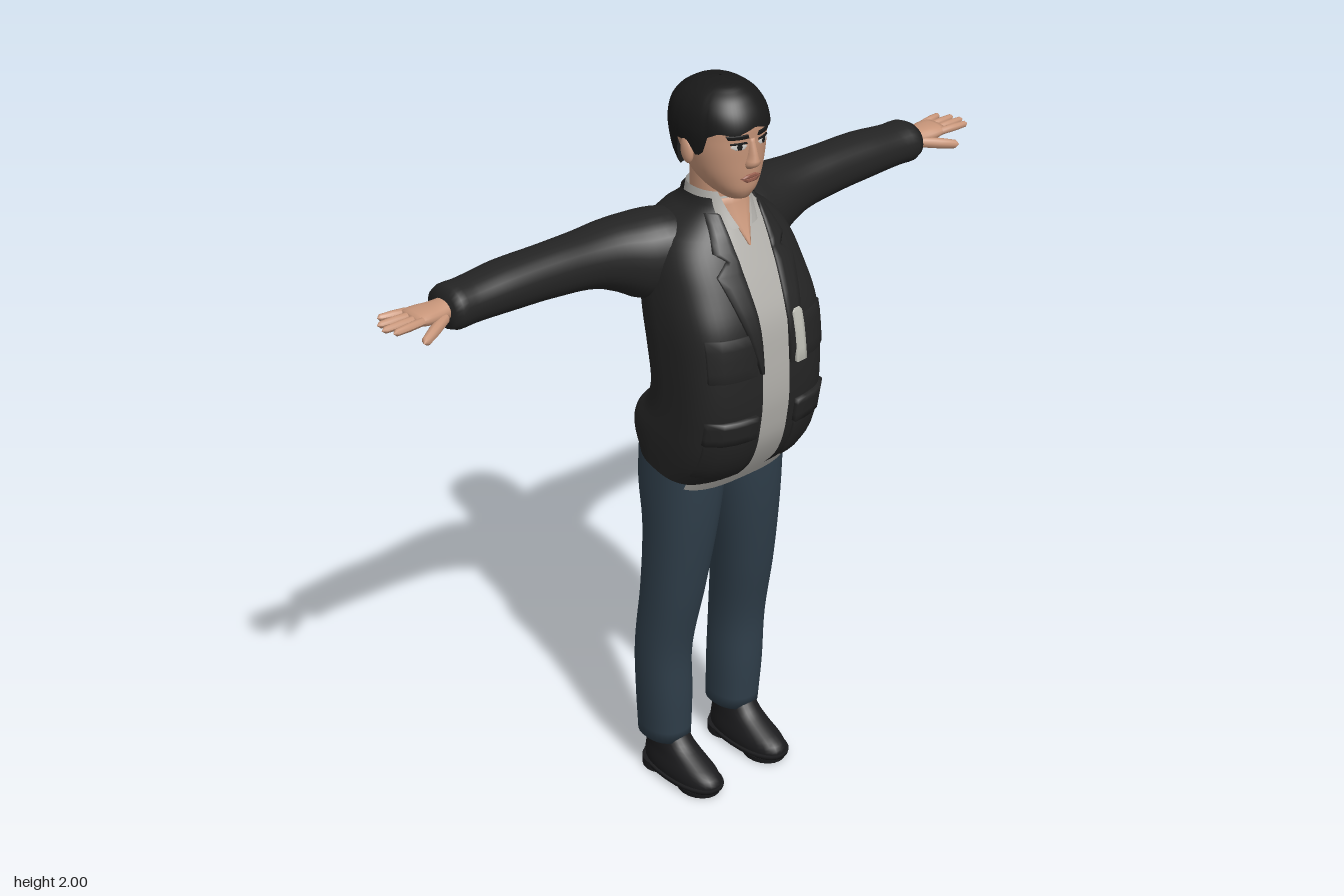
import * as THREE from 'three';
import { mergeVertices } from 'three/addons/utils/BufferGeometryUtils.js';

const mat = (name, color, side = THREE.FrontSide) =>
  Object.assign(new THREE.MeshStandardMaterial({ color, side }), { name });

// Profile rows: [y, centreX, halfWidth, frontZ, backZ, frontSquareness]
function profile(rows, warp = (y) => y) {
  const f = new THREE.CubicInterpolant(rows.map((r) => r[0]), rows.flatMap((r) => r.slice(1)), 5);
  return { get: (y) => Array.from(f.evaluate(y)), warp, y0: rows[0][0], y1: rows[rows.length - 1][0] };
}

// Point on a profile's surface at angle a (0 = front, + towards +x)
function at(P, a, y) {
  const [cx, rx, zf, zb, n] = P.get(y);
  const cz = (zf + zb) / 2, s = Math.sin(a), c = Math.cos(a), e = 2 / (c > 0 ? n : 2.3);
  const x = cx + rx * Math.sign(s) * Math.abs(s) ** e;
  const z = cz + ((zf - zb) / 2) * Math.sign(c) * Math.abs(c) ** e;
  return [x, P.warp(y, z), z];
}

// Regular grid of points into a smooth geometry
function grid(rows) {
  const w = rows[0].length, index = [];
  for (let i = 0; i < rows.length - 1; i++)
    for (let j = 0; j < w - 1; j++) {
      const a = i * w + j;
      index.push(a, a + 1, a + w + 1, a, a + w + 1, a + w);
    }
  let g = new THREE.BufferGeometry();
  g.setAttribute('position', new THREE.Float32BufferAttribute(rows.flat(2), 3));
  g.setIndex(index);
  g = mergeVertices(g, 1e-5);
  g.computeVertexNormals();
  return g;
}

// Skin over a profile, optionally partial in angle or with a shaped lower edge
function loft(P, { segs = 32, rows = 20, cap = true, ang = (u) => (u * 2 - 1) * Math.PI, low = () => P.y0 } = {}) {
  const out = [];
  for (let i = 0; i <= rows; i++) {
    const row = [];
    for (let j = 0; j <= segs; j++) {
      const yMid = P.y0 + ((P.y1 - P.y0) * i) / rows, a = ang(j / segs, yMid), lo = low(a);
      row.push(at(P, a, lo + ((P.y1 - lo) * i) / rows));
    }
    out.push(row);
  }
  if (cap) {
    const centre = (y) => {
      const [cx, , zf, zb] = P.get(y), z = (zf + zb) / 2;
      return Array(segs + 1).fill([cx, P.warp(y, z), z]);
    };
    out.unshift(centre(P.y0));
    out.push(centre(P.y1));
  }
  return grid(out);
}

// Raised panel on the front of a profile; rows are [y, x0, x1] from bottom to top
function panel(P, rows, off) {
  const lines = [];
  for (let i = 0; i < rows.length - 1; i++)
    for (let k = i ? 1 : 0; k <= 4; k++) lines.push(rows[i].map((v, c) => v + ((rows[i + 1][c] - v) * k) / 4));
  const line = ([y, x0, x1], lift) => [0, 0, 0.25, 0.5, 0.75, 1, 1].map((u, j) => {
    const [cx, rx, zf, zb, n] = P.get(y), x = x0 + (x1 - x0) * u;
    const k = Math.min(1, Math.abs((x - cx) / rx));
    const z = (zf + zb) / 2 + ((zf - zb) / 2) * (1 - k ** n) ** (1 / n);
    return [x, P.warp(y, z), z + (j === 0 || j === 6 ? 0 : lift)];
  });
  return grid([line(lines[0], 0), ...lines.map((l) => line(l, off)), line(lines[lines.length - 1], 0)]);
}

// Tapered finger from a to b
function finger(a, b, r) {
  const A = new THREE.Vector3(...a), d = new THREE.Vector3(...b).sub(A), L = d.length();
  const pts = [[0, 0], [r, 0.002], [r, L * 0.5], [r * 0.8, L * 0.9], [0, L]].map((p) => new THREE.Vector2(...p));
  const g = new THREE.LatheGeometry(pts, 10);
  g.applyQuaternion(new THREE.Quaternion().setFromUnitVectors(new THREE.Vector3(0, 1, 0), d.normalize()));
  return g.translate(...a);
}

function mirrored(geo) {
  const g = geo.clone().scale(-1, 1, 1), ix = g.index.array;
  for (let i = 0; i < ix.length; i += 3) [ix[i], ix[i + 1]] = [ix[i + 1], ix[i]];
  g.computeVertexNormals();
  return g;
}

export function createModel() {
  const D = THREE.DoubleSide;
  const jacketM = mat('black jacket cloth', 0x242424, D), shirtM = mat('grey shirt cloth', 0xb2b0ab, D);
  const denim = mat('blue denim', 0x2f3e4a, D), skin = mat('skin', 0xc8967a, D), hairM = mat('black hair', 0x191919, D);
  const leather = mat('shoe leather', 0x1b1b1d), blue = mat('blue card', 0x1d4088), tagM = mat('pale tag', 0xbfbfb6, D);
  const white = mat('eye white', 0xd8d4cf, D), lip = mat('lip', 0x9c6252, D);

  const root = new THREE.Group();
  const add = (name, geo, m) => {
    const mesh = new THREE.Mesh(geo, m);
    mesh.name = name;
    root.add(mesh);
  };
  const pair = (name, geo, m) => {
    add(name + 'Left', geo, m);
    add(name + 'Right', mirrored(geo), m);
  };

  // Jacket body: open at the front, hem dipping forwards
  const hemTilt = (y, z) => (y < 1.15 ? y - ((1.15 - y) / 0.16) * 0.25 * z : y);
  const body = [
    [0.99, 0, 0.206, 0.10, -0.165, 3], [1.05, 0, 0.211, 0.155, -0.2, 3.2], [1.1, 0, 0.213, 0.182, -0.195, 3.4],
    [1.16, 0, 0.212, 0.197, -0.147, 3.4], [1.22, 0, 0.212, 0.203, -0.127, 3.4], [1.32, 0, 0.213, 0.2, -0.14, 3.4],
    [1.42, 0, 0.213, 0.188, -0.16, 3.2], [1.5, 0, 0.206, 0.158, -0.17, 2.8], [1.58, 0, 0.19, 0.12, -0.175, 2.5],
    [1.63, 0, 0.16, 0.095, -0.17, 2.3], [1.665, 0, 0.115, 0.08, -0.145, 2.2], [1.69, 0, 0.09, 0.072, -0.11, 2.2],
    [1.715, 0, 0.084, 0.066, -0.1, 2.2]];
  const jacket = profile(body, hemTilt);
  const gapAngle = (y) => {
    const [, rx, , , n] = jacket.get(y), g = 0.044 + 0.022 * THREE.MathUtils.smoothstep(y, 1.35, 1.66);
    return Math.asin((g / rx) ** (n / 2));
  };
  add('jacketBody', loft(jacket, {
    segs: 56, rows: 40, cap: false,
    ang: (u, y) => { const g = gapAngle(y); return g + u * (2 * Math.PI - 2 * g); },
  }), jacketM);
  pair('lapel', panel(jacket, [[1.3, 0.044, 0.052], [1.45, 0.047, 0.095], [1.55, 0.055, 0.12], [1.58, 0.056, 0.085],
    [1.6, 0.058, 0.11], [1.68, 0.062, 0.085]], 0.009), jacketM);
  pair('lowerPocket', panel(jacket, [[1.03, 0.07, 0.185], [1.15, 0.07, 0.188]], 0.008), jacketM);
  pair('lowerPocketFlap', panel(jacket, [[1.13, 0.065, 0.19], [1.19, 0.065, 0.19]], 0.014), jacketM);
  pair('chestPocket', panel(jacket, [[1.3, 0.065, 0.185], [1.41, 0.065, 0.185]], 0.007), jacketM);
  add('chestTag', panel(jacket, [[1.295, 0.064, 0.098], [1.425, 0.058, 0.092], [1.435, 0.066, 0.084]], 0.0095), tagM);

  // Sleeves, lofted along the arm
  const sleeve = profile([
    [0.07, -1.58, 0.08, 0.03, -0.15, 2.2], [0.14, -1.57, 0.097, 0.03, -0.185, 2.2], [0.2, -1.557, 0.106, 0.005, -0.203, 2.2],
    [0.26, -1.571, 0.09, -0.02, -0.2, 2.2], [0.33, -1.584, 0.073, -0.035, -0.19, 2.2], [0.45, -1.592, 0.065, -0.045, -0.18, 2.2],
    [0.58, -1.593, 0.06, -0.05, -0.185, 2.2], [0.7, -1.59, 0.053, -0.055, -0.178, 2.2], [0.735, -1.59, 0.054, -0.053, -0.178, 2.2],
    [0.755, -1.59, 0.046, -0.06, -0.17, 2.2]]);
  pair('sleeve', loft(sleeve, { segs: 28, rows: 36 }).rotateZ(-Math.PI / 2), jacketM);

  // Hands
  const palm = profile([
    [0.73, -1.592, 0.026, -0.085, -0.145, 2.2], [0.78, -1.593, 0.022, -0.075, -0.148, 2.2],
    [0.82, -1.597, 0.019, -0.068, -0.153, 2.4], [0.85, -1.6, 0.013, -0.068, -0.153, 2.4]]);
  pair('palm', loft(palm, { segs: 18, rows: 10 }).rotateZ(-Math.PI / 2), skin);
  [[-0.077, -0.066, 0.925], [-0.098, -0.095, 0.937], [-0.121, -0.124, 0.93], [-0.143, -0.155, 0.908]].forEach(([z0, z1, x], i) =>
    pair('finger' + (i + 1), finger([0.835, 1.6, z0], [x, 1.602, z1], 0.0105), skin));
  pair('thumb', finger([0.77, 1.585, -0.085], [0.865, 1.568, -0.035], 0.014), skin);

  // Shirt front, collar and open neck
  const shirt = profile(body.map(([y, c, rx, zf, zb, n]) =>
    [y < 1 ? 0.968 : y, c, rx - 0.008, zf - 0.012, zb + 0.012, n]), hemTilt);
  add('shirtFront', loft(shirt, { segs: 16, rows: 36, cap: false, ang: (u) => (u * 2 - 1) * 0.95 }), shirtM);
  add('openNeck', panel(shirt, [[1.595, -0.002, 0.002], [1.65, -0.022, 0.022], [1.71, -0.045, 0.045]], 0.005), skin);
  const collar = profile([[1.64, 0, 0.085, 0.09, -0.11, 2.2], [1.69, 0, 0.076, 0.07, -0.1, 2.2], [1.728, 0, 0.07, 0.058, -0.093, 2.2]]);
  add('shirtCollar', loft(collar, {
    segs: 32, rows: 8, cap: false,
    ang: (u, y) => { const g = 0.2 + (y - 1.64) * 6; return g + u * (2 * Math.PI - 2 * g); },
  }), shirtM);

  // Trouser legs
  const leg = profile([
    [0.115, 0.121, 0.063, -0.02, -0.173, 2.2], [0.25, 0.125, 0.069, -0.012, -0.17, 2.2], [0.4, 0.129, 0.07, -0.008, -0.165, 2.2],
    [0.6, 0.12, 0.079, 0.03, -0.142, 2.2], [0.8, 0.107, 0.092, 0.06, -0.137, 2.2], [0.92, 0.1, 0.1, 0.07, -0.155, 2.3],
    [1.06, 0.098, 0.1, 0.072, -0.15, 2.4]]);
  pair('trouserLeg', loft(leg, { segs: 28, rows: 28 }), denim);
  const seat = profile([[0.9, 0, 0.03, 0.02, -0.09, 2], [0.94, 0, 0.1, 0.06, -0.14, 2.2], [1.06, 0, 0.17, 0.072, -0.145, 2.4]]);
  add('trouserSeat', loft(seat, { rows: 8 }), denim);

  // Shoes
  const upper = profile([
    [0.015, 0.118, 0.056, 0.112, -0.16, 2.3], [0.035, 0.118, 0.058, 0.114, -0.162, 2.3], [0.055, 0.118, 0.055, 0.098, -0.16, 2.2],
    [0.075, 0.118, 0.05, 0.058, -0.157, 2.2], [0.1, 0.119, 0.047, 0.01, -0.155, 2.2], [0.135, 0.12, 0.045, -0.025, -0.155, 2.2]]);
  pair('shoe', loft(upper, { segs: 28, rows: 14 }), leather);
  const sole = profile([[0.012, 0.118, 0.062, 0.117, -0.167, 2.4], [0.024, 0.118, 0.063, 0.12, -0.168, 2.4]], (y, z) => y + Math.max(0, z) * 0.05);
  pair('sole', loft(sole, { segs: 28, rows: 2 }), leather);
  pair('heel', new THREE.CylinderGeometry(0.058, 0.058, 0.024, 20).translate(0.118, 0.012, -0.107), leather);
  pair('soleFront', new THREE.CylinderGeometry(0.058, 0.055, 0.016, 20).scale(1, 1, 1.2).translate(0.118, 0.008, 0.04), leather);

  // Head and neck
  const neck = profile([[1.56, 0, 0.07, 0.05, -0.1, 2], [1.66, 0, 0.06, 0.05, -0.088, 2], [1.8, 0, 0.058, 0.045, -0.085, 2]]);
  add('neck', loft(neck, { segs: 24, rows: 8 }), skin);
  const face = profile([
    [1.714, 0, 0.03, 0.086, 0.01, 2.2], [1.735, 0, 0.053, 0.099, -0.03, 2.2], [1.77, 0, 0.076, 0.105, -0.07, 2.2],
    [1.82, 0, 0.091, 0.108, -0.1, 2.3], [1.87, 0, 0.097, 0.111, -0.12, 2.3], [1.92, 0, 0.094, 0.109, -0.12, 2.2],
    [1.97, 0, 0.06, 0.06, -0.07, 2.1]]);
  add('head', loft(face, { segs: 36, rows: 28 }), skin);
  const nose = profile([
    [1.797, 0, 0.013, 0.11, 0.09, 2], [1.81, 0, 0.02, 0.13, 0.085, 2], [1.825, 0, 0.015, 0.129, 0.085, 2], [1.875, 0, 0.009, 0.114, 0.09, 2]]);
  add('nose', loft(nose, { segs: 16, rows: 10 }), skin);
  pair('ear', new THREE.SphereGeometry(1, 16, 12).scale(0.012, 0.034, 0.02).rotateX(-0.15).translate(0.099, 1.835, -0.012), skin);
  pair('eye', panel(face, [[1.853, 0.026, 0.046], [1.861, 0.018, 0.057], [1.868, 0.026, 0.05]], 0.002), white);
  pair('iris', panel(face, [[1.853, 0.034, 0.041], [1.861, 0.031, 0.044], [1.868, 0.034, 0.041]], 0.0035), hairM);
  pair('upperLid', panel(face, [[1.867, 0.017, 0.058], [1.871, 0.02, 0.056]], 0.004), hairM);
  pair('eyebrow', panel(face, [[1.88, 0.014, 0.062], [1.89, 0.018, 0.066]], 0.004), hairM);
  add('lowerLip', panel(face, [[1.764, -0.016, 0.016], [1.774, -0.03, 0.03]], 0.006), lip);
  add('upperLip', panel(face, [[1.774, -0.03, 0.03], [1.783, -0.012, 0.012]], 0.005), lip);

  // Hair cap with fringe, sideburns and nape
  const hair = profile([
    [1.75, 0, 0.07, 0.05, -0.098, 2.2], [1.8, 0, 0.093, 0.1, -0.125, 2.2], [1.85, 0, 0.103, 0.115, -0.138, 2.2],
    [1.9, 0, 0.106, 0.122, -0.14, 2.2], [1.95, 0, 0.092, 0.102, -0.122, 2.2], [1.98, 0, 0.064, 0.072, -0.087, 2.1],
    [1.995, 0, 0.032, 0.037, -0.048, 2], [2, 0, 0.002, 0, -0.008, 2]]);
  const line = [[0, 1.907], [0.45, 1.892], [0.85, 1.898], [1.08, 1.885], [1.2, 1.835], [1.42, 1.83], [1.5, 1.86], [1.78, 1.86], [1.92, 1.8], [2.3, 1.765], [3.2, 1.755]];
  const hairline = (a) => {
    const t = Math.abs(a), i = Math.max(1, line.findIndex((p) => p[0] >= t)), [p, q] = [line[i - 1], line[i]];
    return p[1] + ((q[1] - p[1]) * (t - p[0])) / (q[0] - p[0]);
  };
  add('hair', loft(hair, { segs: 64, rows: 30, cap: false, low: hairline }), hairM);

  // Card hanging behind the left hip
  add('hipCard', new THREE.BoxGeometry(0.09, 0.17, 0.008).translate(0.085, 0.945, -0.21), blue);
  return root;
}
